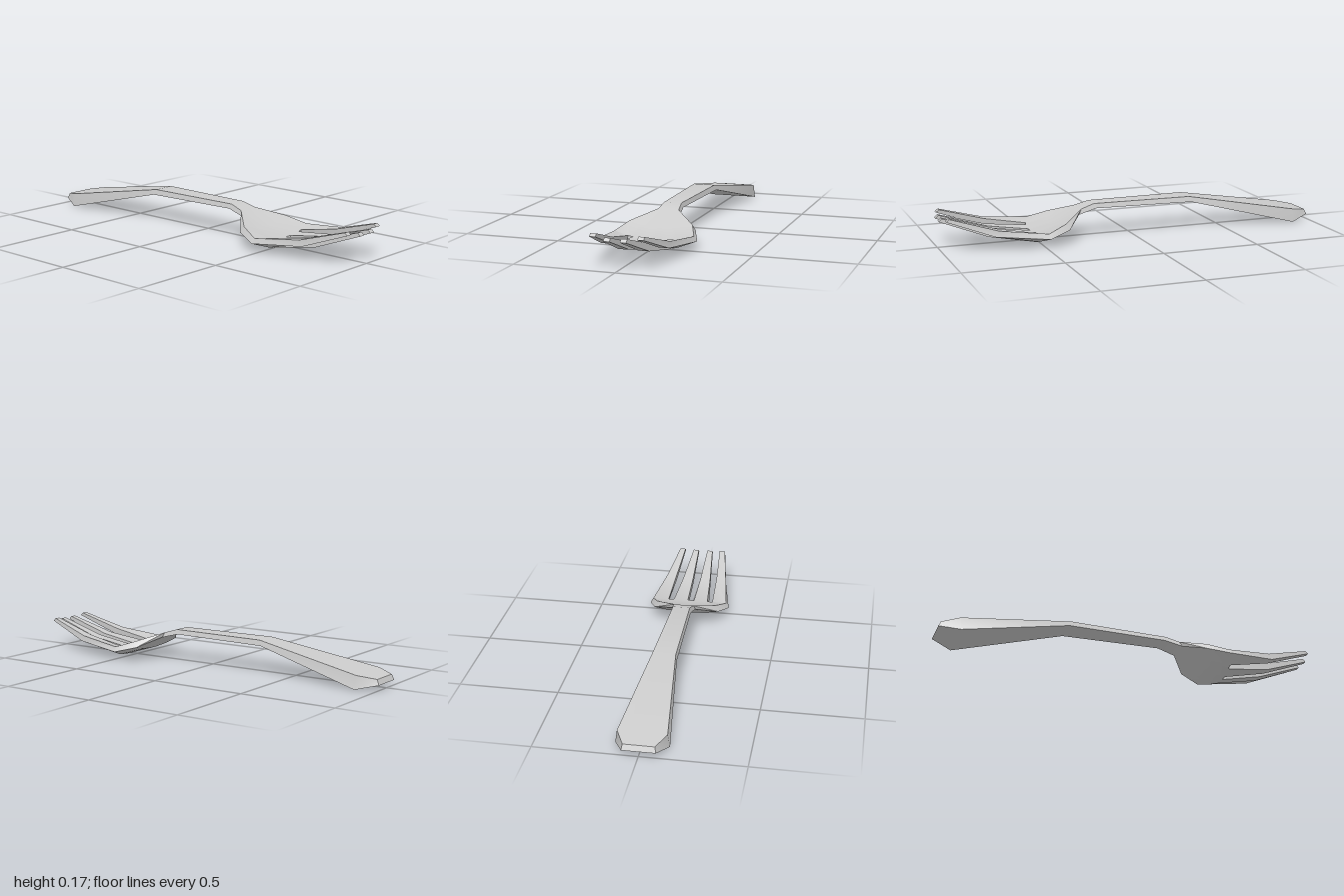
import * as THREE from 'three';
import { toCreasedNormals } from 'three/addons/utils/BufferGeometryUtils.js';

// Column positions across the half width; the gaps 1, 3 and 5 become the slots.
const COLUMNS = [-1, -0.6, -0.46, -0.083, 0.083, 0.46, 0.6, 1];

// A cross-section: top and bottom given as [halfWidth, y, z, rise and setback at the rim].
function section(top, bottom) {
  const line = ([w, y, z, rise = 0, back = 0]) => COLUMNS.map((f) =>
    [w * f, y + rise * f * f, z - back * f * f]);
  return { top: line(top), bottom: line(bottom) };
}

// A tine cross-section between two x values, with [y, z] of top and bottom.
function tineSection(xa, xb, top, bottom) {
  return { top: [[xa, ...top], [xb, ...top]], bottom: [[xa, ...bottom], [xb, ...bottom]] };
}

// Joins cross-sections (in order of z) into a slab; caps list the closed columns.
function slab(out, rows, startCaps = [], endCaps = []) {
  const quad = (a, b, c, d) => out.push(...a, ...b, ...c, ...a, ...c, ...d);
  const last = rows[0].top.length - 1;
  for (let r = 0; r < rows.length - 1; r++) {
    const { top: t, bottom: b } = rows[r];
    const { top: T, bottom: B } = rows[r + 1];
    for (let c = 0; c < last; c++) {
      quad(t[c], T[c], T[c + 1], t[c + 1]);
      quad(b[c], b[c + 1], B[c + 1], B[c]);
    }
    quad(t[0], b[0], B[0], T[0]);
    quad(t[last], T[last], B[last], b[last]);
  }
  const s = rows[0], e = rows[rows.length - 1];
  for (const c of startCaps) quad(s.top[c], s.top[c + 1], s.bottom[c + 1], s.bottom[c]);
  for (const c of endCaps) quad(e.top[c], e.bottom[c], e.bottom[c + 1], e.top[c + 1]);
}

export function createModel() {
  const group = new THREE.Group();
  group.name = 'fork';
  const material = new THREE.MeshStandardMaterial({ color: 0xcccccc });
  const positions = [];
  const parts = [];
  const addPart = (name, ...args) => {
    const start = positions.length;
    slab(positions, ...args);
    parts.push({ name, start, end: positions.length });
  };

  // Handle: flared end, slim neck
  const neck = section([0.054, 0.147, 0.27], [0.062, 0.12, 0.285]);
  addPart('handle', [
    section([0.075, 0.052, -0.988], [0.08, 0.025, -1]),
    section([0.118, 0.068, -0.9], [0.128, 0, -0.895]),
    section([0.058, 0.168, -0.32], [0.065, 0.14, -0.33]),
    section([0.045, 0.168, 0.2], [0.052, 0.144, 0.19]),
    neck,
  ], [0, 1, 2, 3, 4, 5, 6]);

  // Bowl: dished shoulder, closed only at the slot ends
  const rim = section([0.203, 0.05, 0.53, 0.02, 0.045], [0.218, 0, 0.54, 0.045, 0.06]);
  addPart('bowl', [
    neck,
    section([0.163, 0.083, 0.395, 0.02, 0.01], [0.175, 0.048, 0.385, 0.025, 0.015]),
    rim,
  ], [], [1, 3, 5]);

  // Tines: two inner and two outer, each bent once and tapering
  const shapes = {
    innerTine: [
      [0.021, 0.077, [0.082, 0.74], [0.05, 0.76]],
      [0.025, 0.055, [0.155, 0.985], [0.14, 1]],
    ],
    outerTine: [
      [0.115, 0.168, [0.098, 0.73], [0.068, 0.745]],
      [0.1, 0.13, [0.166, 0.965], [0.153, 0.98]],
    ],
  };
  for (const [name, column] of [['outerTine', 0], ['innerTine', 2], ['innerTine', 4], ['outerTine', 6]]) {
    const left = column > 3;
    const root = {
      top: rim.top.slice(column, column + 2),
      bottom: rim.bottom.slice(column, column + 2),
    };
    const rows = shapes[name].map(([a, b, top, bottom]) =>
      (left ? tineSection(a, b, top, bottom) : tineSection(-b, -a, top, bottom)));
    addPart((left ? 'left ' : 'right ') + name, [root, ...rows], [], [0]);
  }

  // Shade the whole surface together, then split it into named parts
  const whole = new THREE.BufferGeometry();
  whole.setAttribute('position', new THREE.Float32BufferAttribute(positions, 3));
  const shaded = toCreasedNormals(whole, 0.55);
  for (const { name, start, end } of parts) {
    const geometry = new THREE.BufferGeometry();
    for (const key of ['position', 'normal']) {
      const values = shaded.getAttribute(key).array.slice(start, end);
      geometry.setAttribute(key, new THREE.BufferAttribute(values, 3));
    }
    const mesh = new THREE.Mesh(geometry, material);
    mesh.name = name;
    group.add(mesh);
  }
  return group;
}
